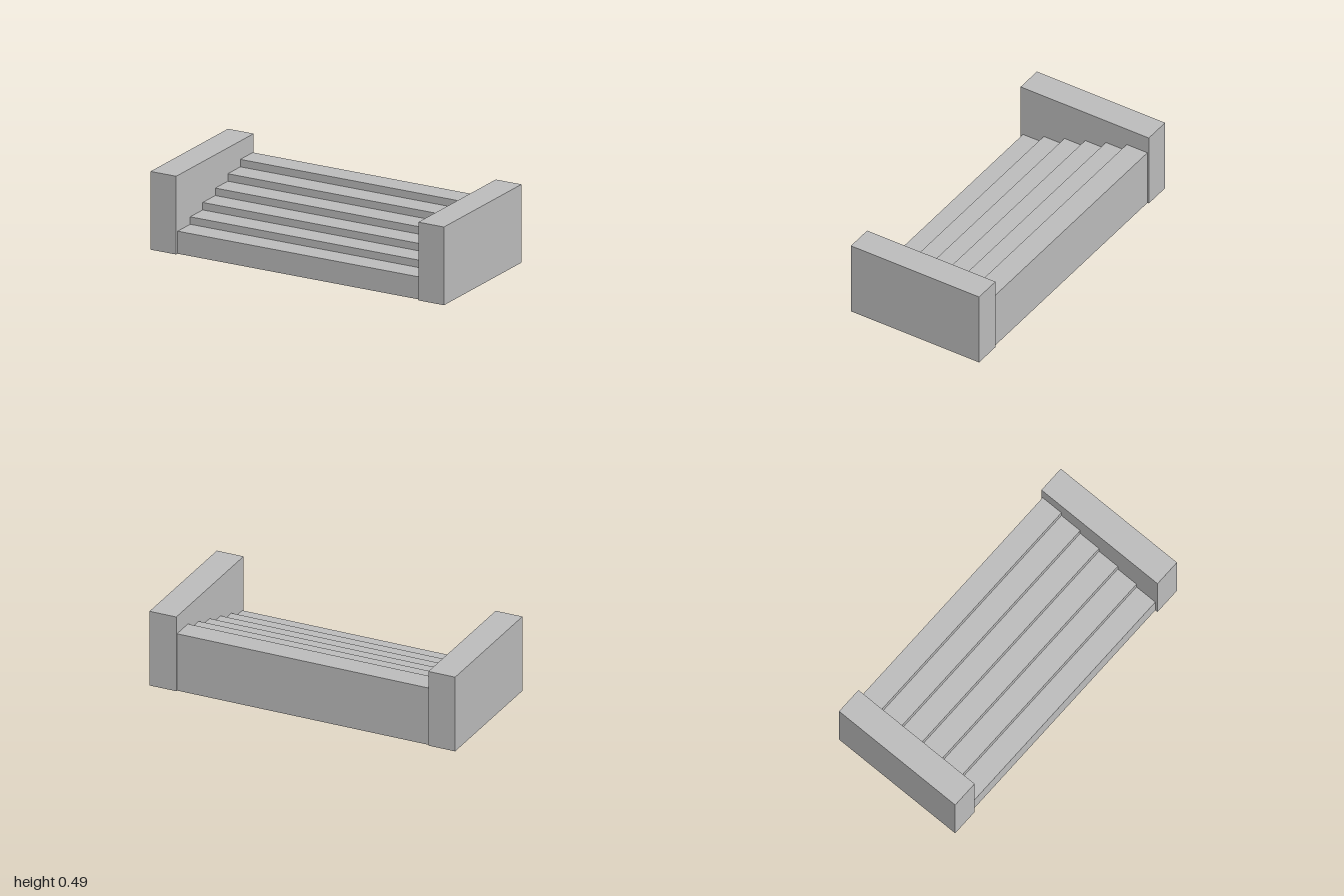
import * as THREE from 'three';

const STEPS = 6;
const HALF_WIDTH = 0.825;
const FRONT = 0.433, BACK = -0.44;
const FIRST_RISE = 0.14, RISE = 0.0464;
const WALL = { width: 0.175, height: 0.486, depth: 0.9 };

export function createModel() {
  const model = new THREE.Group();
  model.name = 'staircase';
  const stone = new THREE.MeshStandardMaterial({ color: 0xbfbfbf });
  stone.name = 'grey stone';

  // Solid flight of steps: a stepped side profile extruded across the width
  const run = (FRONT - BACK) / STEPS;
  const profile = new THREE.Shape();
  profile.moveTo(-FRONT, 0);
  for (let i = 0; i < STEPS; i++) {
    const y = FIRST_RISE + i * RISE;
    profile.lineTo(-FRONT + i * run, y);
    profile.lineTo(-FRONT + (i + 1) * run, y);
  }
  profile.lineTo(-BACK, 0);
  profile.closePath();
  const flight = new THREE.ExtrudeGeometry(profile, { depth: HALF_WIDTH * 2, bevelEnabled: false });
  flight.translate(0, 0, -HALF_WIDTH);
  flight.rotateY(Math.PI / 2); // profile x becomes -z
  const steps = new THREE.Mesh(flight, stone);
  steps.name = 'steps';
  model.add(steps);

  // Matching side walls
  const wallGeometry = new THREE.BoxGeometry(WALL.width, WALL.height, WALL.depth);
  for (const [name, side] of [['leftWall', 1], ['rightWall', -1]]) {
    const wall = new THREE.Mesh(wallGeometry, stone);
    wall.name = name;
    wall.position.set(side * (HALF_WIDTH + WALL.width / 2), WALL.height / 2, 0);
    model.add(wall);
  }
  return model;
}
